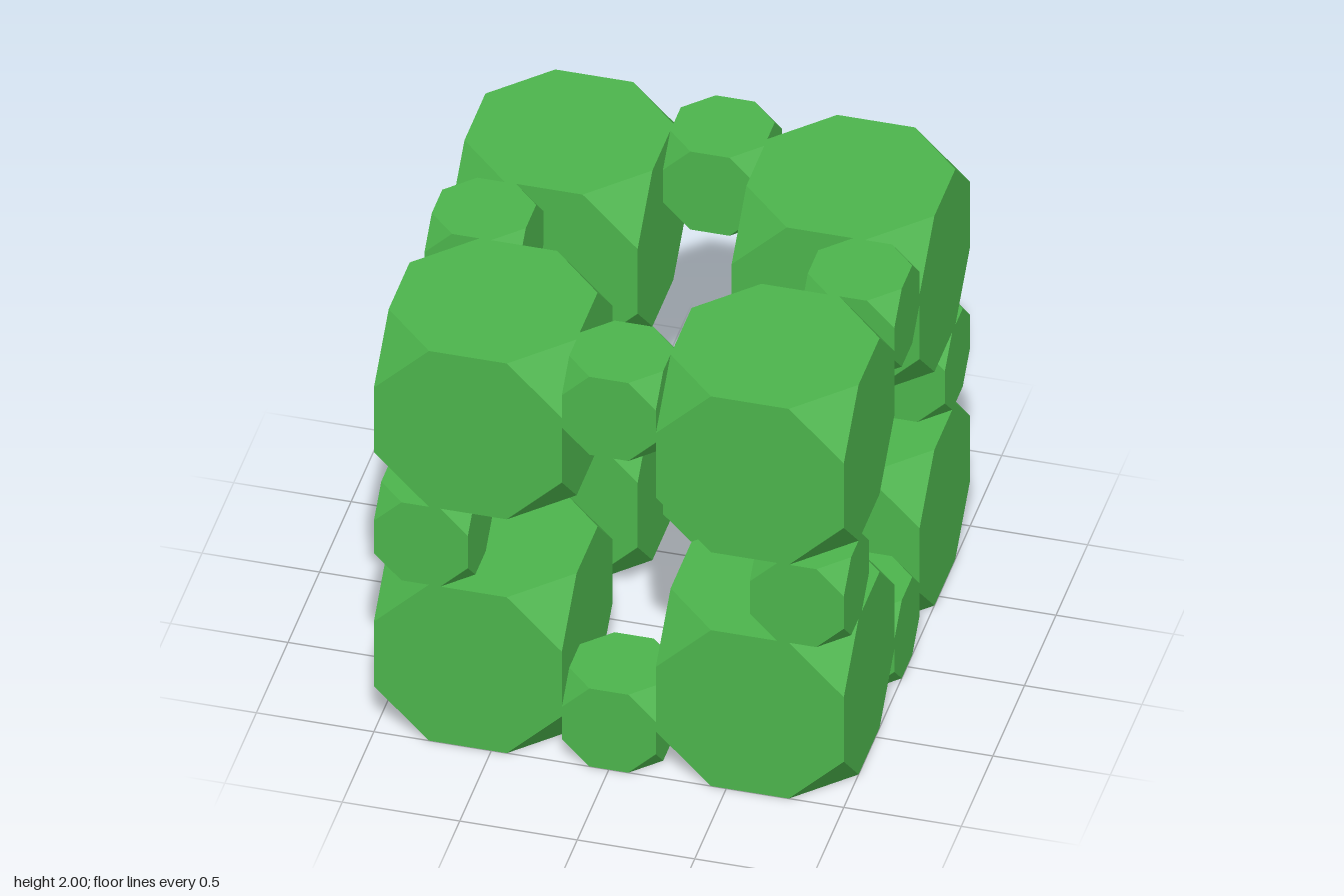
import * as THREE from 'three';
import { ConvexGeometry } from 'three/addons/geometries/ConvexGeometry.js';

// Regular truncated cube: every corner cut off so that each face is a regular octagon
function truncatedCube(half) {
  const points = [];
  const short = half * (Math.SQRT2 - 1);
  for (const x of [-1, 1]) for (const y of [-1, 1]) for (const z of [-1, 1]) {
    points.push(
      new THREE.Vector3(x * short, y * half, z * half),
      new THREE.Vector3(x * half, y * short, z * half),
      new THREE.Vector3(x * half, y * half, z * short)
    );
  }
  return new ConvexGeometry(points);
}

export function createModel() {
  const model = new THREE.Group();
  model.name = 'truncatedCubeFrame';
  const material = new THREE.MeshStandardMaterial({ color: 0x4cb44c, flatShading: true });
  const cornerGeometry = truncatedCube(0.4);
  const edgeGeometry = truncatedCube(0.2);

  const add = (name, geometry, x, y, z) => {
    const mesh = new THREE.Mesh(geometry, material);
    mesh.name = name;
    mesh.position.set(x, y + 1, z);
    model.add(mesh);
  };

  // Large blocks at the eight corners, small ones midway along the twelve edges
  for (const i of [-1, 0, 1]) for (const j of [-1, 0, 1]) for (const k of [-1, 0, 1]) {
    const zeros = [i, j, k].filter((v) => v === 0).length;
    if (zeros === 0) add('cornerBlock', cornerGeometry, i * 0.6, j * 0.6, k * 0.6);
    if (zeros === 1) add('edgeBlock', edgeGeometry, i * 0.8, j * 0.8, k * 0.8);
  }
  return model;
}
